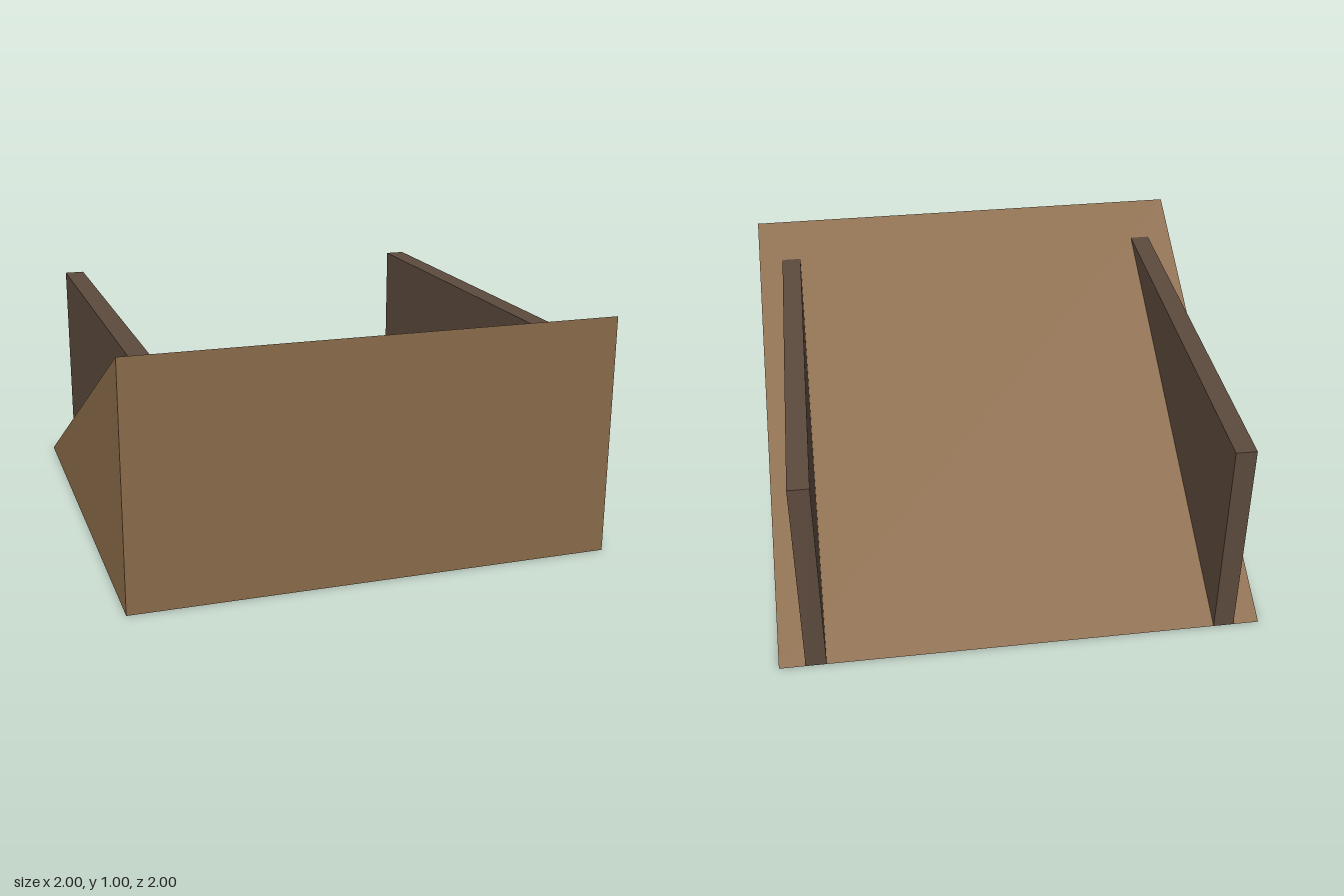
import * as THREE from 'three';

// Extrudes a side profile of [z, y] points across the x axis, centred on x = 0
function sideProfile(points, width) {
  const shape = new THREE.Shape(points.map(([z, y]) => new THREE.Vector2(z, y)));
  const geometry = new THREE.ExtrudeGeometry(shape, { depth: width, bevelEnabled: false });
  return geometry.translate(0, 0, -width / 2).rotateY(-Math.PI / 2);
}

export function createModel() {
  const group = new THREE.Group();
  group.name = 'ramp';
  const lightWood = new THREE.MeshStandardMaterial({ name: 'lightWood', color: 0x8b6b4a });
  const darkWood = new THREE.MeshStandardMaterial({ name: 'darkWood', color: 0x5c4a3d });

  // Wedge rising from the back edge to the front
  const wedge = new THREE.Mesh(sideProfile([[-1, 0], [1, 0], [1, 1]], 2), lightWood);
  wedge.name = 'wedge';
  group.add(wedge);

  // Level-topped side walls standing on the slope
  const wallGeometry = sideProfile([[-1, 0], [0.8, 0.9], [-1, 0.9]], 0.085);
  for (const [name, side] of [['leftWall', 1], ['rightWall', -1]]) {
    const wall = new THREE.Mesh(wallGeometry, darkWood);
    wall.name = name;
    wall.position.x = side * 0.85;
    group.add(wall);
  }
  return group;
}
